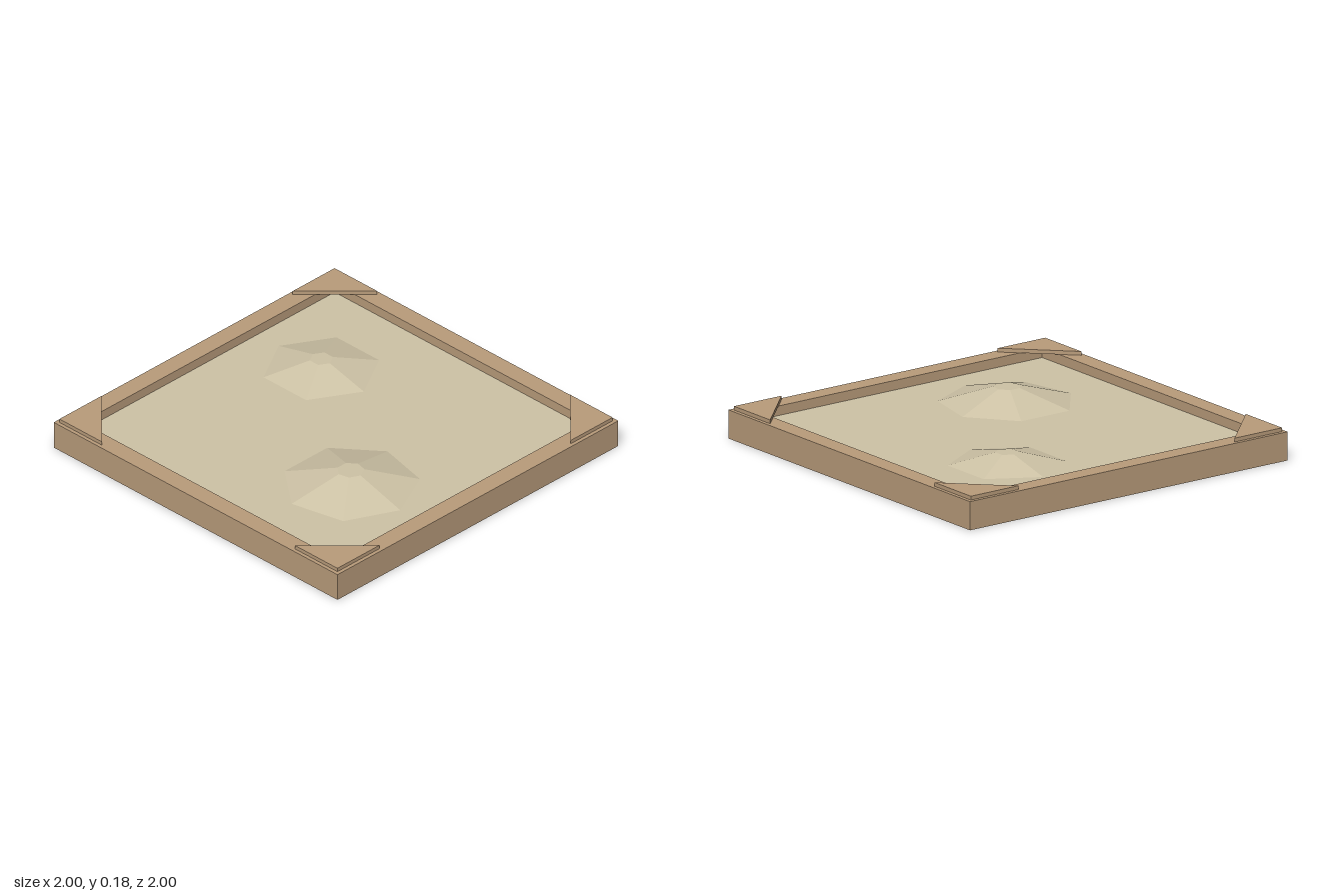
import * as THREE from 'three';

const WALL = 0.15, SAND = 0.1;

// Extrudes a plan-view shape upwards
function slab(shape, height) {
  return new THREE.ExtrudeGeometry(shape, { depth: height, bevelEnabled: false }).rotateX(-Math.PI / 2);
}

function polygon(points) {
  return new THREE.Shape(points.map(([x, y]) => new THREE.Vector2(x, y)));
}

function square(h) {
  return polygon([[-h, -h], [h, -h], [h, h], [-h, h]]);
}

export function createModel() {
  const wood = new THREE.MeshStandardMaterial({ color: 0xb99c7b });
  wood.name = 'wood';
  const sand = new THREE.MeshStandardMaterial({ color: 0xcec3a6, flatShading: true });
  sand.name = 'sand';

  const model = new THREE.Group();
  model.name = 'sandbox';
  function add(name, geometry, material) {
    const mesh = new THREE.Mesh(geometry, material);
    mesh.name = name;
    model.add(mesh);
    return mesh;
  }

  // Square wooden frame
  const outline = square(1);
  outline.holes.push(square(0.9));
  add('frame', slab(outline, WALL), wood);

  // Sand fill
  add('sandBed', new THREE.BoxGeometry(1.8, SAND, 1.8).translate(0, SAND / 2, 0), sand);

  // Triangular corner seats
  const seat = slab(polygon([[0.98, 0.98], [0.68, 0.98], [0.98, 0.68]]), 0.02);
  for (let i = 0; i < 4; i++) {
    const mesh = add('cornerSeat' + (i + 1), seat, wood);
    mesh.position.y = WALL;
    mesh.rotation.y = i * Math.PI / 2;
  }

  // Faceted sand mounds with a corner pointing along +x
  function mound(name, x, z, top, bottom, height, sides) {
    const geometry = new THREE.CylinderGeometry(top, bottom, height, sides, 1, true).rotateY(Math.PI / 2);
    const cap = new THREE.CircleGeometry(top, sides).rotateX(-Math.PI / 2);
    add(name, geometry, sand).position.set(x, SAND + height / 2, z);
    add(name + 'Top', cap, sand).position.set(x, SAND + height, z);
  }
  mound('smallMound', -0.45, -0.35, 0.06, 0.3, 0.06, 6);
  mound('largeMound', 0.4, 0.3, 0.07, 0.35, 0.08, 7);

  return model;
}
